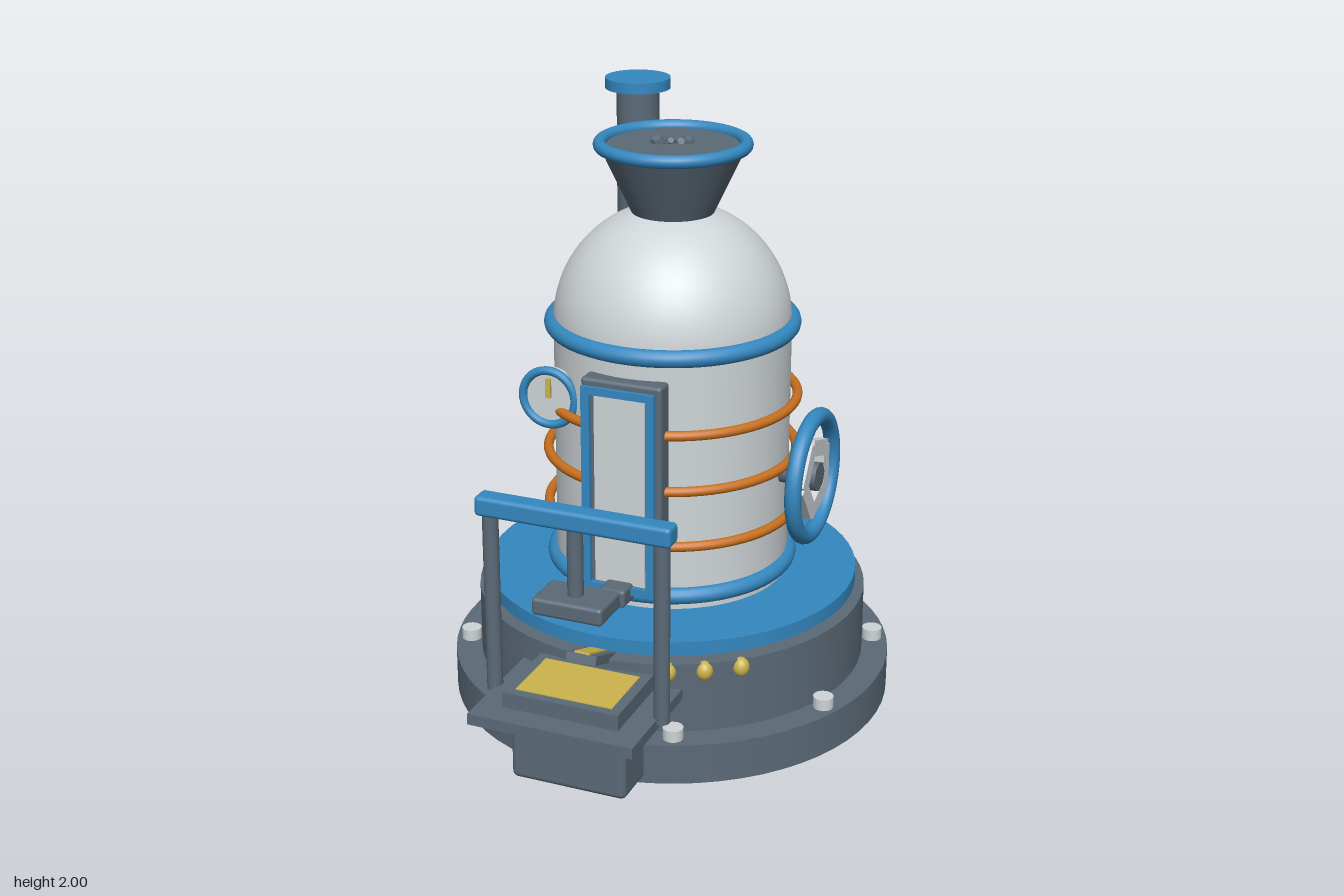
import * as THREE from 'three';
import { RoundedBoxGeometry } from 'three/addons/geometries/RoundedBoxGeometry.js';

const mat = (name, color) => {
  const m = new THREE.MeshStandardMaterial({ color });
  m.name = name;
  return m;
};

export function createModel() {
  const slate = mat('slate', 0x5b6a77);
  const blue = mat('blue', 0x3488c0);
  const pale = mat('pale metal', 0xcfd5d8);
  const copper = mat('copper', 0xc8701e);
  const gold = mat('gold', 0xcdb44e);

  const root = new THREE.Group();
  root.name = 'still';
  const AXIS = -0.125; // z of the vessel axis

  const add = (name, geo, m, x, y, z, parent = root) => {
    const mesh = new THREE.Mesh(geo, m);
    mesh.name = name;
    mesh.position.set(x, y, z);
    parent.add(mesh);
    return mesh;
  };
  // upright cylinder between two heights
  const cyl = (name, m, rBottom, rTop, y0, y1, x = 0, z = AXIS, seg = 64) =>
    add(name, new THREE.CylinderGeometry(rTop, rBottom, y1 - y0, seg), m, x, (y0 + y1) / 2, z);
  // box between corners, centred on x unless told otherwise
  const box = (name, m, w, y0, y1, z0, z1, round = 0, x = 0) =>
    add(name, round ? new RoundedBoxGeometry(w, y1 - y0, z1 - z0, 3, round)
      : new THREE.BoxGeometry(w, y1 - y0, z1 - z0), m, x, (y0 + y1) / 2, (z0 + z1) / 2);
  // horizontal ring around the vessel axis
  const ring = (name, m, r, tube, y) => {
    const t = add(name, new THREE.TorusGeometry(r, tube, 14, 72), m, 0, y, AXIS);
    t.rotation.x = Math.PI / 2;
    return t;
  };

  // Stepped base
  cyl('baseDisc', slate, 0.73, 0.73, 0, 0.135);
  cyl('baseDrum', slate, 0.643, 0.643, 0.135, 0.37);
  cyl('deckPlate', blue, 0.613, 0.613, 0.385, 0.432);
  for (let i = 0; i < 8; i++) {
    const a = (i + 0.5) * Math.PI / 4;
    cyl('baseBolt', pale, 0.033, 0.033, 0.13, 0.173, 0.68 * Math.sin(a), AXIS + 0.68 * Math.cos(a), 16);
  }

  // Vessel with domed top
  const profile = [new THREE.Vector2(0, 0.43), new THREE.Vector2(0.383, 0.43)];
  cyl('vesselWall', pale, 0.383, 0.383, 0.43, 1.28);
  add('dome', new THREE.SphereGeometry(0.383, 64, 24, 0, Math.PI * 2, 0, Math.PI / 2), pale, 0, 1.28, AXIS);
  ring('lowerBand', blue, 0.385, 0.028, 0.48);
  ring('upperBand', blue, 0.385, 0.028, 1.28);
  for (const y of [0.66, 0.848, 1.035]) ring('copperCoil', copper, 0.406, 0.016, y);

  // Hopper with a few lumps in it
  cyl('hopper', slate, 0.13, 0.232, 1.635, 1.853);
  ring('hopperRim', blue, 0.23, 0.021, 1.855);
  [[-0.05, -0.12, 0.025], [-0.015, -0.135, 0.018], [0.012, -0.15, 0.022], [0.04, -0.158, 0.02]].forEach(([x, z, r], i) => {
    add('lump', new THREE.DodecahedronGeometry(r), slate, x, 1.855, z).rotation.set(i, i * 2, 0);
  });

  // Chimney
  cyl('chimney', slate, 0.069, 0.069, 1.38, 1.97, -0.218, -0.358, 32);
  cyl('chimneyCap', blue, 0.106, 0.106, 1.965, 2, -0.218, -0.358, 40);

  // Front door: backing, pane and floating blue frame
  box('doorBacking', slate, 0.27, 0.495, 1.205, 0.23, 0.3, 0.012);
  box('doorPane', pale, 0.17, 0.53, 1.16, 0.3, 0.312);
  const rect = (S, w, y0, y1) => {
    const s = new S();
    s.moveTo(-w, y0);
    s.lineTo(w, y0);
    s.lineTo(w, y1);
    s.lineTo(-w, y1);
    s.closePath();
    return s;
  };
  const frame = rect(THREE.Shape, 0.122, 0.505, 1.188);
  frame.holes.push(rect(THREE.Path, 0.094, 0.53, 1.163));
  add('doorFrame', new THREE.ExtrudeGeometry(frame, { depth: 0.013, bevelEnabled: false }), blue, 0, 0, 0.316);
  box('doorLatch', slate, 0.088, 0.482, 0.54, 0.29, 0.382, 0.01);

  // Dial gauge
  const dial = add('gaugeFace', new THREE.CylinderGeometry(0.095, 0.095, 0.03, 40), pale, -0.29, 1.08, 0.185);
  dial.rotation.x = Math.PI / 2;
  add('gaugeRim', new THREE.TorusGeometry(0.09, 0.014, 12, 48), blue, -0.29, 1.08, 0.2);
  add('gaugeNeedle', new THREE.BoxGeometry(0.018, 0.065, 0.009), gold, -0.29, 1.113, 0.204);

  // Handwheel on the left side
  const wheel = new THREE.Group();
  wheel.name = 'handwheel';
  wheel.position.set(0.487, 0.81, AXIS);
  root.add(wheel);
  add('wheelRim', new THREE.TorusGeometry(0.196, 0.027, 14, 56), blue, 0, 0, 0, wheel).rotation.y = Math.PI / 2;
  add('wheelAxle', new THREE.CylinderGeometry(0.036, 0.036, 0.13, 24), slate, -0.062, 0, 0, wheel).rotation.z = Math.PI / 2;
  add('wheelHub', new THREE.CylinderGeometry(0.05, 0.05, 0.045, 8), slate, 0, 0, 0, wheel).rotation.z = Math.PI / 2;
  for (let i = 0; i < 5; i++) {
    const a = i * Math.PI * 0.4;
    const s = add('wheelSpoke', new THREE.BoxGeometry(0.03, 0.145, 0.053), pale,
      0, 0.093 * Math.sin(a), -0.093 * Math.cos(a), wheel);
    s.rotation.x = a;
  }

  // Gold studs on the drum
  for (const [x, z] of [[0.228, 0.47], [0.33, 0.418], [0.425, 0.35]]) {
    add('stud', new THREE.SphereGeometry(0.032, 20, 14), gold, x, 0.342, z).scale.set(0.85, 1, 0.85);
  }

  // Front work table with tray and chute
  box('tablePedestal', slate, 0.385, 0.015, 0.238, 0.49, 0.728, 0.02);
  box('tableTop', slate, 0.545, 0.25, 0.286, 0.455, 0.854);
  box('tray', slate, 0.385, 0.286, 0.338, 0.5, 0.775);
  box('trayFilling', gold, 0.32, 0.333, 0.341, 0.53, 0.745);
  const chute = new THREE.Group();
  chute.name = 'chute';
  chute.position.set(0, 0.383, 0.535);
  chute.rotation.x = -0.36;
  root.add(chute);
  add('chuteBed', new THREE.BoxGeometry(0.1, 0.03, 0.165), slate, 0, 0, 0, chute);
  add('chuteStrip', new THREE.BoxGeometry(0.05, 0.008, 0.165), gold, 0, 0.017, 0, chute);

  // Press frame over the tray
  for (const x of [-0.281, 0.281]) cyl('pressPost', slate, 0.025, 0.025, 0.27, 0.88, x, 0.645, 24);
  box('pressBeam', blue, 0.64, 0.862, 0.927, 0.611, 0.68, 0.014);
  cyl('pressRod', slate, 0.025, 0.025, 0.63, 0.87, 0, 0.645, 24);
  box('pressPlate', slate, 0.232, 0.588, 0.645, 0.57, 0.718, 0.012);

  return root;
}
